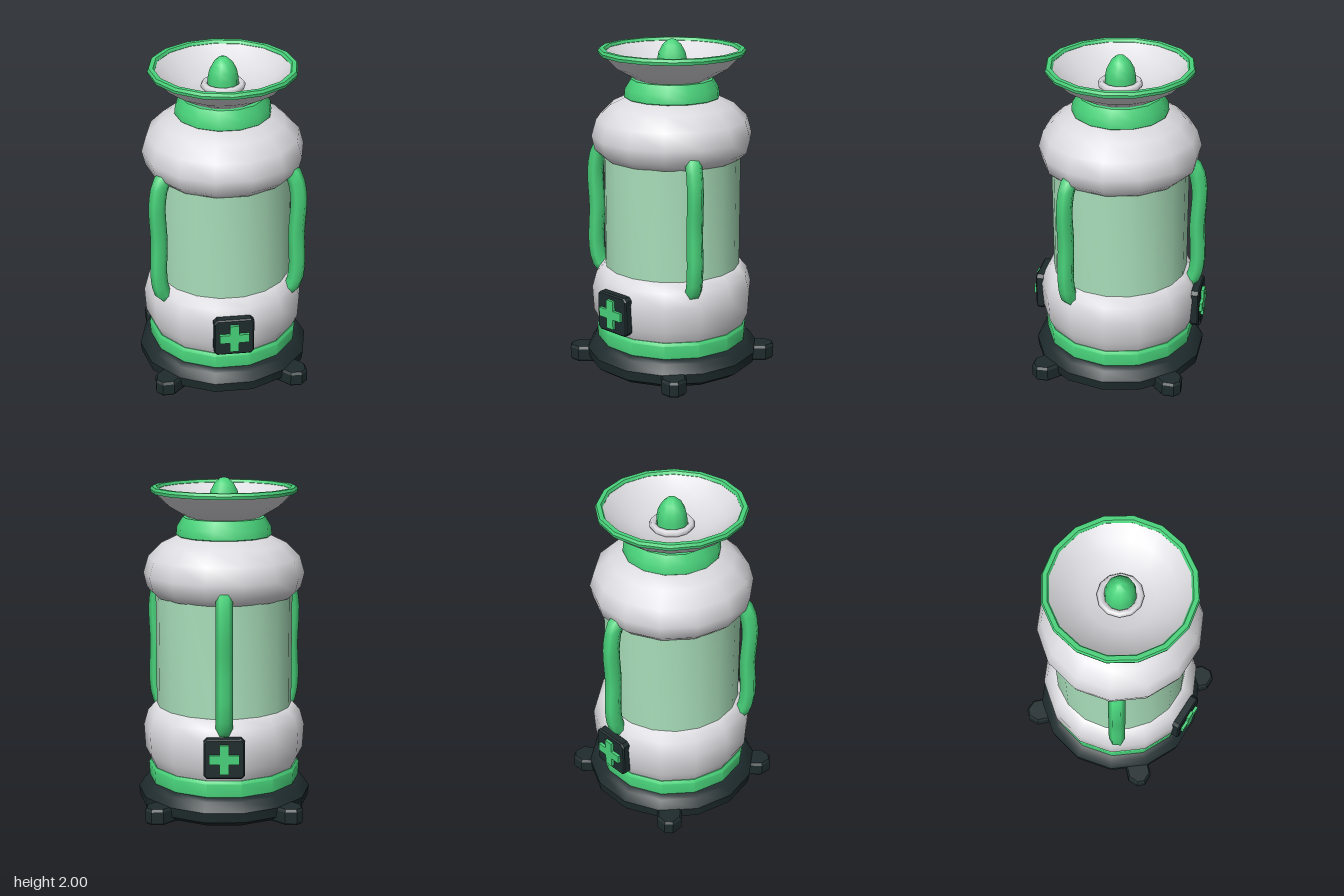
import * as THREE from 'three';
import { toCreasedNormals } from 'three/addons/utils/BufferGeometryUtils.js';

const material = (name, color) => {
  const m = new THREE.MeshStandardMaterial({ color });
  m.name = name;
  return m;
};

export function createModel() {
  const white = material('white shell', 0xdcdce0);
  const green = material('bright green', 0x48d27a);
  const glass = material('pale green tank', 0xa9deba);
  const dark = material('dark slate', 0x1e2b2d);
  const model = new THREE.Group();

  const add = (name, geometry, mat, parent = model) => {
    const mesh = new THREE.Mesh(geometry, mat);
    mesh.name = name;
    parent.add(mesh);
    return mesh;
  };
  // Turned part from [radius, height] pairs, running up the outside
  const turned = (name, profile, mat, sides = 14, crease = 0.65) => {
    const points = profile.map(([r, y]) => new THREE.Vector2(r, y));
    const g = new THREE.LatheGeometry(points, sides, Math.PI / 2);
    return add(name, toCreasedNormals(g, crease), mat);
  };

  // Base and lower band
  turned('base', [[0, 0], [0.465, 0], [0.518, 0.035], [0.525, 0.095], [0.49, 0.15], [0.46, 0.168], [0, 0.168]], dark);
  turned('lowerBand', [[0.42, 0.16], [0.457, 0.17], [0.462, 0.25], [0.45, 0.268], [0, 0.268]], green);

  // Rounded shells around the tank
  turned('lowerShell', [[0.38, 0.258], [0.445, 0.268], [0.482, 0.345], [0.49, 0.49], [0.465, 0.58], [0.42, 0.632], [0.3, 0.632]], white, 14, 0.9);
  turned('tank', [[0.41, 0.6], [0.41, 1.33]], glass, 18);
  turned('upperShell', [[0.3, 1.302], [0.415, 1.302], [0.462, 1.345], [0.482, 1.43], [0.453, 1.53], [0.37, 1.612], [0.27, 1.66], [0, 1.66]], white, 14, 0.9);

  // Neck and dish
  turned('neck', [[0.26, 1.64], [0.285, 1.66], [0.28, 1.71], [0.245, 1.766], [0, 1.766]], green);
  turned('dish', [[0, 1.755], [0.2, 1.755], [0.345, 1.84], [0.428, 1.925], [0.395, 1.93],
    [0.31, 1.86], [0.2, 1.815], [0, 1.8]], white, 16);
  turned('dishRim', [[0.395, 1.915], [0.432, 1.912], [0.436, 1.93], [0.428, 1.946], [0.402, 1.946], [0.392, 1.93], [0.395, 1.915]], green, 16);
  const collar = new THREE.TorusGeometry(0.11, 0.022, 6, 12).rotateX(Math.PI / 2);
  add('knobCollar', collar, white).position.y = 1.825;
  turned('knob', [[0.09, 1.79], [0.09, 1.87], [0.08, 1.92], [0.056, 1.965], [0.025, 1.993], [0, 2]], green, 10, 0.9);

  // Three bowed handles around the tank
  const path = new THREE.CatmullRomCurve3([
    [0.4, 1.365], [0.445, 1.335], [0.48, 1.2], [0.473, 0.95], [0.48, 0.7], [0.455, 0.59], [0.42, 0.56],
  ].map(([x, y]) => new THREE.Vector3(x, y, 0)));
  const handleGeometry = new THREE.TubeGeometry(path, 16, 0.05, 6);
  [-30, 90, 210].forEach((deg) => {
    add('handle', handleGeometry, green).rotation.y = THREE.MathUtils.degToRad(deg);
  });

  // Four chamfered feet on the diagonals
  const footShape = new THREE.Shape([
    [0.42, -0.064], [0.575, -0.064], [0.62, -0.022], [0.62, 0.022], [0.575, 0.064], [0.42, 0.064],
  ].map(([x, y]) => new THREE.Vector2(x, y)));
  const footGeometry = new THREE.ExtrudeGeometry(footShape, {
    depth: 0.066, bevelThickness: 0.015, bevelSize: 0.01, bevelSegments: 1,
  }).rotateX(-Math.PI / 2);
  for (let i = 0; i < 4; i++) {
    const foot = add('foot', footGeometry, dark);
    foot.position.y = 0.016;
    foot.rotation.y = Math.PI / 4 + (i * Math.PI) / 2;
  }

  // Badge plates with a raised cross, front and back
  const w = 0.12, c = 0.02;
  const plateShape = new THREE.Shape([
    [-w + c, -w], [w - c, -w], [w, -w + c], [w, w - c], [w - c, w], [-w + c, w], [-w, w - c], [-w, -w + c],
  ].map(([x, y]) => new THREE.Vector2(x, y)));
  const plateGeometry = new THREE.ExtrudeGeometry(plateShape, {
    depth: 0.04, bevelThickness: 0.008, bevelSize: 0.008, bevelOffset: -0.008, bevelSegments: 1,
  });
  const a = 0.027, b = 0.088;
  const crossShape = new THREE.Shape([
    [-a, -b], [a, -b], [a, -a], [b, -a], [b, a], [a, a], [a, b], [-a, b], [-a, a], [-b, a], [-b, -a], [-a, -a],
  ].map(([x, y]) => new THREE.Vector2(x, y)));
  const crossGeometry = new THREE.ExtrudeGeometry(crossShape, { depth: 0.028, bevelEnabled: false });
  [0, Math.PI].forEach((turn) => {
    const badge = new THREE.Group();
    badge.name = turn ? 'backBadge' : 'frontBadge';
    badge.rotation.y = turn;
    badge.position.y = 0.423;
    add('badgePlate', plateGeometry, dark, badge).position.z = 0.465;
    add('badgeCross', crossGeometry, green, badge).position.z = 0.503;
    model.add(badge);
  });

  return model;
}
